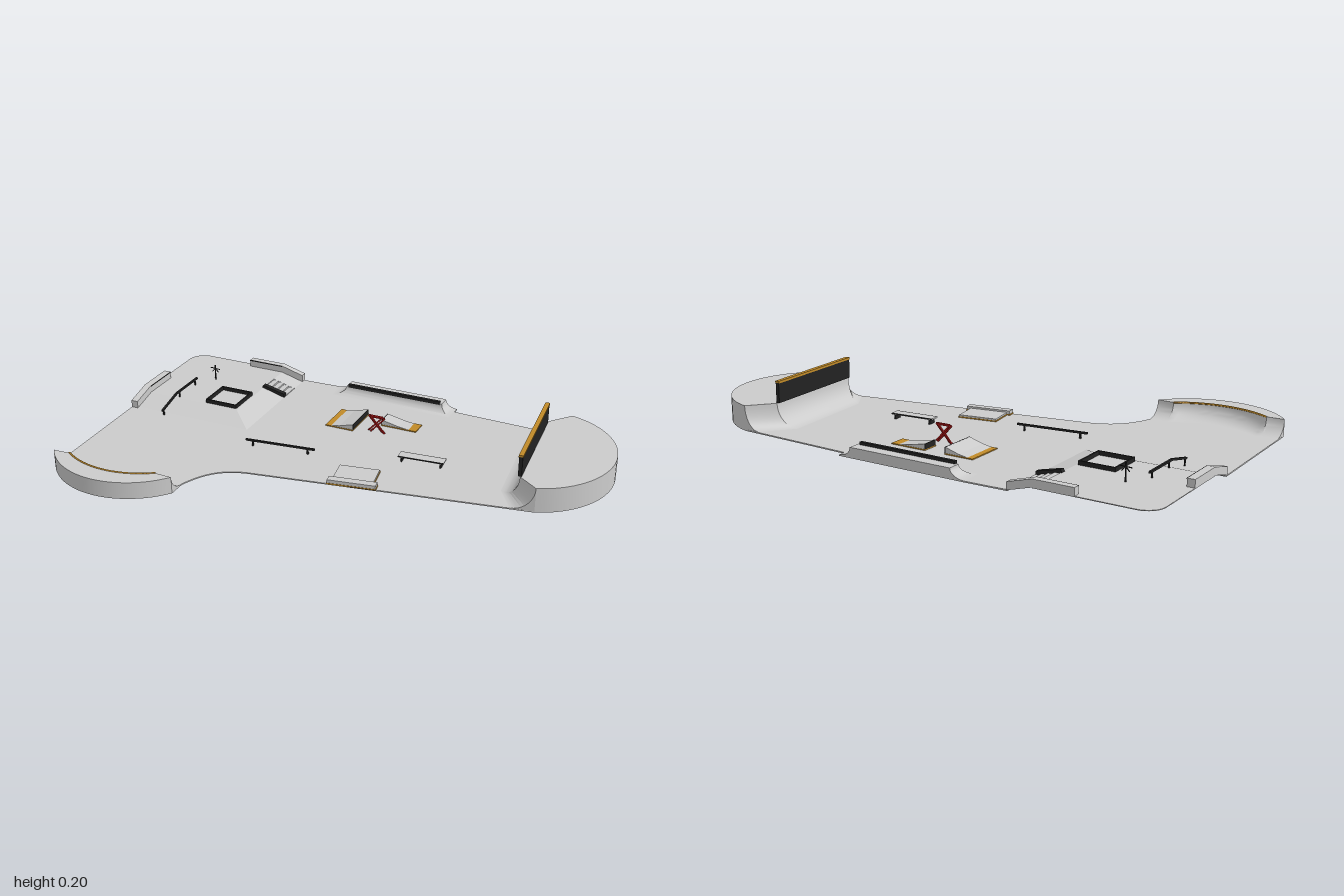
import * as THREE from 'three';
import { toCreasedNormals } from 'three/addons/utils/BufferGeometryUtils.js';

const mat = (color) => new THREE.MeshStandardMaterial({ color, side: THREE.DoubleSide });
const GREY = mat(0xcccccc), BLACK = mat(0x222222), GOLD = mat(0xc08a28), RED = mat(0xb81818);
const F = 0.014;   // floor level
const P = 0.042;   // plaza level
const T = 0.005;   // slab thickness

export function createModel() {
  const park = new THREE.Group();
  park.name = 'skatepark';

  const add = (name, geo, material = GREY, parent = park) => {
    const m = new THREE.Mesh(geo, material);
    m.name = name;
    parent.add(m);
    return m;
  };
  const box = (name, w, h, d, x, y, z, material = GREY, turn = 0, parent = park) => {
    const m = add(name, new THREE.BoxGeometry(w, h, d), material, parent);
    m.position.set(x, y, z);
    m.rotation.y = turn;
    return m;
  };
  // Bar between two points
  const bar = (name, a, b, w, h, material = BLACK) => {
    const p = new THREE.Vector3(...a), q = new THREE.Vector3(...b);
    const m = add(name, new THREE.BoxGeometry(w, h, p.distanceTo(q)), material);
    m.position.copy(p).lerp(q, 0.5);
    m.lookAt(q);
    return m;
  };
  // Horizontal slab from an [x, z] outline, its top at y
  const slab = (name, pts, y, depth = T) => {
    const shape = new THREE.Shape(pts.map(([x, z]) => new THREE.Vector2(x, z)));
    const geo = new THREE.ExtrudeGeometry(shape, { depth, bevelEnabled: false });
    geo.rotateX(Math.PI / 2).translate(0, y, 0);
    return add(name, toCreasedNormals(geo, 0.5));
  };
  // Side profile extruded along z
  const profile = (name, pts, depth, material = GREY) => {
    const shape = new THREE.Shape(pts.map(([x, y]) => new THREE.Vector2(x, y)));
    return add(name, new THREE.ExtrudeGeometry(shape, { depth, bevelEnabled: false }), material);
  };
  // Surface through rows of [x, y, z] points
  const loft = (name, rows, material = GREY) => {
    const n = rows[0].length, index = [];
    for (let r = 0; r < rows.length - 1; r++) {
      for (let c = 0; c < n - 1; c++) {
        const i = r * n + c;
        index.push(i, i + n, i + 1, i + 1, i + n, i + n + 1);
      }
    }
    const geo = new THREE.BufferGeometry();
    geo.setAttribute('position', new THREE.Float32BufferAttribute(rows.flat(2), 3));
    geo.setIndex(index);
    return add(name, toCreasedNormals(geo, 0.5), material);
  };
  // Circular arc from a to b, bulging by sag to the left of the chord
  const arc = (a, b, sag, n = 24) => {
    const dx = b[0] - a[0], dz = b[1] - a[1], len = Math.hypot(dx, dz);
    const r = (len * len / 4 + sag * sag) / (2 * sag), half = Math.asin(len / 2 / r);
    return Array.from({ length: n + 1 }, (_, i) => {
      const t = -half + 2 * half * i / n;
      const u = 0.5 + r * Math.sin(t) / len, v = (sag - r + r * Math.cos(t)) / len;
      return [a[0] + dx * u - dz * v, a[1] + dz * u + dx * v];
    });
  };
  // Quarter pipe: curved transition, deck, outer wall and end caps
  const quarterPipe = (name, foot, top, outer, h) => {
    const S = 10;
    const sections = foot.map((f, i) => Array.from({ length: S + 1 }, (_, k) => {
      const t = k / S * Math.PI / 2, u = Math.sin(t);
      return [f[0] + (top[i][0] - f[0]) * u, F + (h - F) * (1 - Math.cos(t)), f[1] + (top[i][1] - f[1]) * u];
    }));
    loft(name + 'Transition', sections);
    slab(name + 'Deck', [...top, ...outer.slice(1, -1)], h, 0.002);
    loft(name + 'Wall', outer.map(([x, z]) => [[x, F - T, z], [x, h, z]]));
    for (const s of [sections[0], sections[sections.length - 1]]) {
      loft(name + 'End', s.map(([x, y, z]) => [[x, F - T, z], [x, y, z]]));
    }
  };

  // Floor, leaving out the raised corner
  const bigArc = arc([0.82, 0.06], [0.78, -0.575], -0.235).map(([x, z]) => [Math.min(x, 1), z]);
  const bowlArc = arc([-0.46, 0.49], [-0.99, 0.49], 0.135);
  // bulge outwards whichever way the chord runs
  const outerBig = bigArc[12][0] > 0.8 ? bigArc : arc([0.82, 0.06], [0.78, -0.575], 0.235);
  const outerBowl = bowlArc[12][1] > 0.5 ? bowlArc : arc([-0.46, 0.49], [-0.99, 0.49], -0.135);
  const neck = new THREE.CubicBezierCurve(
    new THREE.Vector2(-0.46, 0.42), new THREE.Vector2(-0.42, 0.3),
    new THREE.Vector2(-0.36, 0.25), new THREE.Vector2(-0.25, 0.235),
  ).getPoints(12).map((p) => [p.x, p.y]);
  slab('floor', [
    [-0.45, -0.08], [-0.45, -0.62], [-0.28, -0.625], [0.27, -0.625], [0.27, -0.595],
    ...[...outerBig].reverse(), ...[...neck].reverse(), ...outerBowl, [-1, -0.08],
  ], F);

  // Raised corner with banks and a gap for the stairs
  const corner = Array.from({ length: 9 }, (_, i) => {
    const a = Math.PI + i / 8 * Math.PI / 2;
    return [-0.93 + 0.07 * Math.cos(a), -0.555 + 0.07 * Math.sin(a)];
  });
  slab('plaza', [[-1, -0.18], ...corner, [-0.55, -0.625], [-0.55, -0.18]], P, 0.003);
  loft('frontBank', [[[-1, P, -0.18], [-0.55, P, -0.18]], [[-1, F, -0.08], [-0.45, F, -0.08]]]);
  loft('sideBank', [[[-0.55, P, -0.43], [-0.55, P, -0.18]], [[-0.45, F, -0.43], [-0.45, F, -0.08]]]);
  loft('sideBank', [[[-0.55, P, -0.625], [-0.55, P, -0.52]], [[-0.45, F, -0.625], [-0.45, F, -0.52]]]);

  // Stairs with gold undersides and a black cheek
  for (let i = 0; i < 4; i++) {
    const x = -0.5375 + i * 0.025, y = P - (i + 0.5) * (P - F) / 4;
    box('step', 0.025, 0.008, 0.09, x, y - 0.004, -0.475);
    box('stepUnderside', 0.025, 0.003, 0.088, x, y - 0.009, -0.475, GOLD);
  }
  profile('stairCheek', [[-0.555, P], [-0.55, P + 0.012], [-0.45, F + 0.016], [-0.45, F], [-0.55, P - 0.006]], 0.02, BLACK)
    .position.z = -0.44;

  // Ledges that bend down over the banks
  const H = 0.03;
  profile('backLedge', [[-0.71, P], [-0.71, P + H], [-0.55, P + H], [-0.45, F + H], [-0.45, F], [-0.55, P]], 0.027)
    .position.z = -0.627;
  box('backLedgeEdge', 0.16, 0.004, 0.003, -0.63, P + H - 0.002, -0.6, BLACK);
  const left = profile('sideLedge', [[-0.34, P], [-0.34, P + H], [-0.18, P + H], [-0.07, F + H], [-0.07, F], [-0.18, P]], 0.03);
  left.rotation.y = -Math.PI / 2;
  left.position.x = -0.97;
  box('sideLedgeEdge', 0.003, 0.004, 0.16, -0.97, P + H - 0.002, -0.26, BLACK);

  // Plaza furniture: square frame, bent rail, small pole
  for (const s of [-1, 1]) {
    box('frameSide', 0.14, 0.016, 0.006, -0.63, P + 0.008, -0.26 + s * 0.07, BLACK);
    box('frameSide', 0.006, 0.016, 0.146, -0.63 + s * 0.07, P + 0.008, -0.26, BLACK);
  }
  bar('bentRail', [-0.835, P + 0.025, -0.34], [-0.835, P + 0.025, -0.17], 0.008, 0.008);
  bar('bentRail', [-0.835, P + 0.025, -0.17], [-0.832, F + 0.025, -0.045], 0.008, 0.008);
  for (const [y, z] of [[P, -0.32], [P, -0.19], [F, -0.06]]) {
    box('railPost', 0.005, 0.028, 0.005, -0.834, y + 0.012, z, BLACK);
  }
  box('pole', 0.004, 0.07, 0.004, -0.78, P + 0.035, -0.408, BLACK);
  bar('poleArm', [-0.805, 0.096, -0.41], [-0.755, 0.096, -0.405], 0.003, 0.003);
  for (const s of [-1, 1]) bar('poleBrace', [-0.78, 0.096, -0.408], [-0.78 + s * 0.015, 0.08, -0.408], 0.003, 0.003);

  // Tall end quarter pipe with a capped wall
  quarterPipe('endQuarter',
    [[0.715, -0.573], [0.62, -0.455], [0.66, -0.035], [0.73, 0.074]],
    [[0.78, -0.575], [0.70, -0.48], [0.74, 0], [0.82, 0.06]], outerBig, 0.11);
  bar('endWall', [0.70, 0.15, -0.474], [0.738, 0.15, -0.002], 0.014, 0.08);
  bar('endWallCap', [0.70, 0.193, -0.474], [0.738, 0.193, -0.002], 0.018, 0.009, GOLD);

  // Front bowl with gold coping on its curved lip
  const lipA = arc([-0.92, 0.485], [-0.53, 0.485], 0.06, 16);
  const lipArc = lipA[8][1] > 0.5 ? lipA : arc([-0.92, 0.485], [-0.53, 0.485], -0.06, 16);
  const lip = [[-0.99, 0.49], [-0.925, 0.487], ...lipArc, [-0.525, 0.487], [-0.46, 0.49]];
  quarterPipe('bowl', lip.map(([x, z]) => [x, z - 0.07]), lip, outerBowl, 0.078);
  const coping = new THREE.CatmullRomCurve3(lipArc.map(([x, z]) => new THREE.Vector3(x, 0.078, z)));
  add('bowlCoping', new THREE.TubeGeometry(coping, 32, 0.004, 6), GOLD);

  // Low back quarter pipe with a rail
  const backTop = [[-0.22, -0.625], [-0.22, -0.572], [0.22, -0.572], [0.22, -0.625]];
  quarterPipe('backQuarter', [[-0.28, -0.625], [-0.275, -0.535], [0.265, -0.535], [0.27, -0.625]],
    backTop, [[0.22, -0.625], [0, -0.625], [-0.22, -0.625]], 0.05);
  box('backRail', 0.42, 0.014, 0.013, 0, 0.054, -0.574, BLACK);

  // Pair of kickers facing each other over a gap
  const kicker = (x0, x1, z0, z1, h) => {
    const xm = (x0 + x1) / 2;
    profile('kicker', [[x0, F], [xm, F + h * 0.38], [x1, F + h], [x1, F]], z1 - z0).position.z = z0;
    box('kickerFace', 0.003, h, z1 - z0, x1, F + h / 2, (z0 + z1) / 2, BLACK);
    box('kickerBase', Math.abs(x1 - x0) + 0.004, 0.004, z1 - z0 + 0.004, xm, F + 0.002, (z0 + z1) / 2, GOLD);
  };
  kicker(-0.17, -0.05, -0.413, -0.255, 0.028);
  kicker(0.19, 0.04, -0.415, -0.35, 0.025);

  // Red hourglass sculpture
  for (const [z, dx] of [[-0.292, -0.006], [-0.284, 0.006]]) {
    const l = 0.012 + dx, r = 0.074 + dx;
    bar('sculpture', [l, 0.082, z], [r, 0.082, z], 0.006, 0.006, RED);
    bar('sculpture', [l, 0.082, z], [r, F, z], 0.006, 0.006, RED);
    bar('sculpture', [r, 0.082, z], [l, F, z], 0.006, 0.006, RED);
  }

  // Bench
  const bench = new THREE.Group();
  bench.name = 'bench';
  bench.position.set(0.31, 0, -0.115);
  bench.rotation.y = 0.08;
  park.add(bench);
  box('benchTop', 0.186, 0.006, 0.04, 0, 0.036, 0, GREY, 0, bench);
  for (const s of [-1, 1]) {
    box('benchLeg', 0.006, 0.022, 0.036, s * 0.08, F + 0.01, 0, BLACK, 0, bench);
    box('benchEdge', 0.186, 0.004, 0.003, 0, 0.037, s * 0.02, BLACK, 0, bench);
  }
  box('benchAnchor', 0.02, 0.012, 0.02, 0, 0.006, 0, GOLD, 0, bench);

  // Manual pad with a higher ledge along the edge
  const pad = new THREE.Group();
  pad.name = 'manualPad';
  pad.position.set(0.125, 0, 0.11);
  pad.rotation.y = 0.16;
  park.add(pad);
  box('padBase', 0.164, 0.005, 0.114, -0.002, F + 0.002, -0.02, GOLD, 0, pad);
  box('padTop', 0.16, 0.008, 0.11, -0.002, F + 0.007, -0.02, GREY, 0, pad);
  box('padLedge', 0.19, 0.018, 0.032, 0, F + 0.009, 0.05, GREY, 0, pad);
  box('padLedgeBase', 0.194, 0.005, 0.035, 0, F + 0.002, 0.05, GOLD, 0, pad);

  // Flat rail
  bar('flatRail', [-0.39, 0.038, 0.034], [-0.1, 0.038, 0.001], 0.007, 0.008);
  for (const t of [0.1, 0.9]) box('railPost', 0.006, 0.024, 0.006, -0.39 + 0.29 * t, F + 0.011, 0.034 - 0.033 * t, BLACK);

  return park;
}
